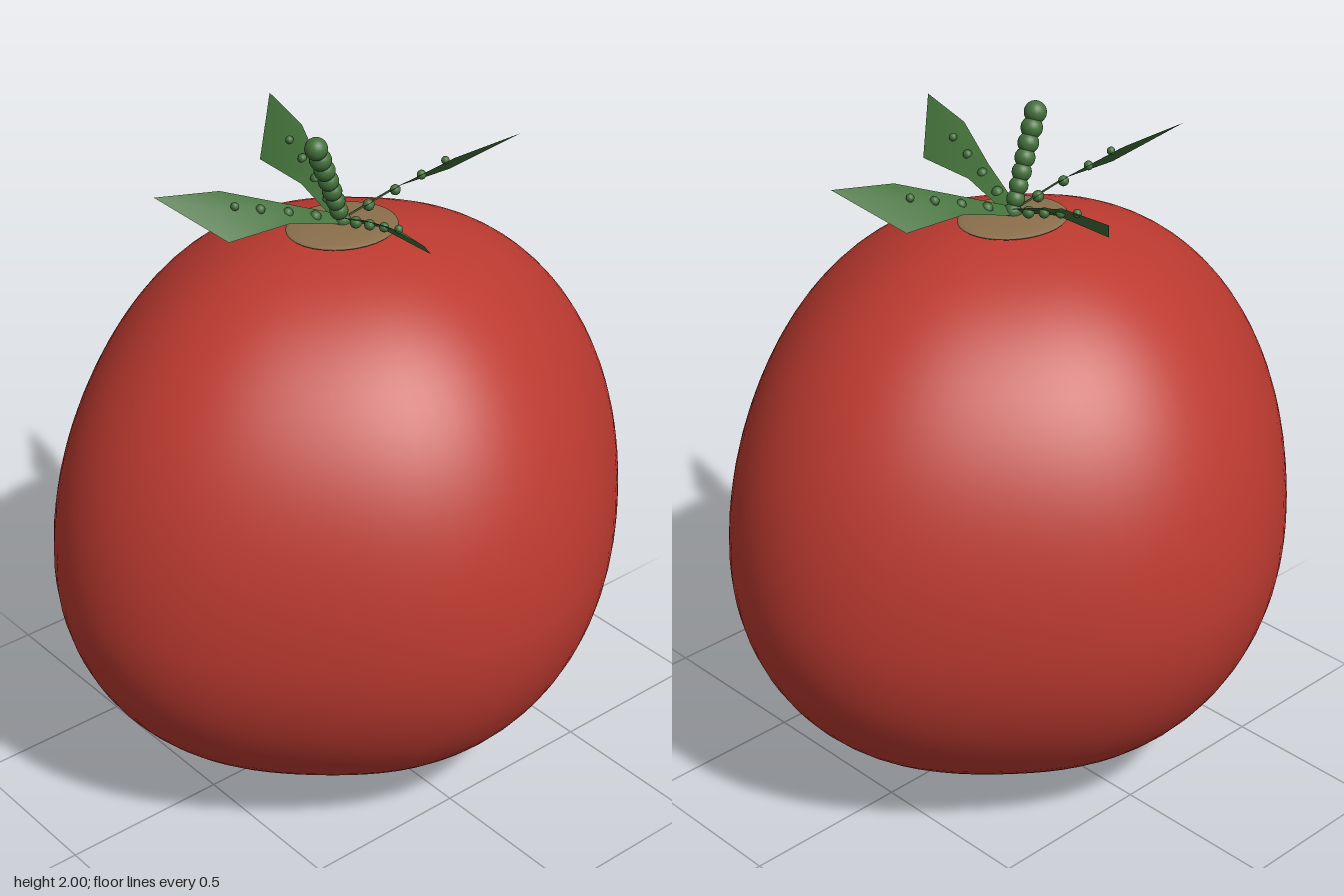
import * as THREE from 'three';
import { mergeVertices } from 'three/addons/utils/BufferGeometryUtils.js';

const red = new THREE.MeshStandardMaterial({ color: 0xbc3a30 });
red.name = 'ripeRed';
const green = new THREE.MeshStandardMaterial({ color: 0x43703a, side: THREE.DoubleSide });
green.name = 'leafGreen';
const tan = new THREE.MeshStandardMaterial({ color: 0x8b6f4c });
tan.name = 'scarTan';

function add(parent, name, geometry, material, x = 0, y = 0, z = 0) {
  const mesh = new THREE.Mesh(geometry, material);
  mesh.name = name;
  mesh.position.set(x, y, z);
  parent.add(mesh);
  return mesh;
}

// Fruit: a sphere, fuller above, wider in x, with four soft lobes
function fruitGeometry() {
  let g = new THREE.SphereGeometry(1, 72, 48);
  g.deleteAttribute('uv');
  g.deleteAttribute('normal');
  g = mergeVertices(g, 1e-4);
  const p = g.attributes.position;
  for (let i = 0; i < p.count; i++) {
    const x = p.getX(i), y = p.getY(i), z = p.getZ(i);
    const ring = Math.hypot(x, z);
    const lobe = 0.965 + 0.035 * Math.cos(4 * Math.atan2(z, x));
    const full = y > 0 && ring > 1e-3 ? Math.pow(ring, -0.07) : 1;
    p.setXYZ(i, x * 0.91 * lobe * full, 0.78 + y * (y > 0 ? 0.92 : 0.77), z * 0.82 * lobe * full);
  }
  g.computeVertexNormals();
  return g;
}

// Leaf: cross-sections of lower edge, raised midrib and upper edge, ending in a tip
function leafGeometry() {
  const rows = [
    [[0.01, 0, -0.015], [0, 0.012, 0], [-0.005, 0.015, 0.015]],
    [[0.18, 0.048, 0.002], [0.17, 0.068, 0.036], [0.16, 0.082, 0.06]],
    [[0.38, 0.05, 0.013], [0.345, 0.116, 0.075], [0.325, 0.145, 0.122]],
    [[0.515, 0.17, 0.157], [0.515, 0.17, 0.157], [0.515, 0.17, 0.157]],
  ];
  const index = [];
  for (let r = 0; r < 3; r++) {
    for (let c = 0; c < 2; c++) {
      const a = r * 3 + c;
      index.push(a, a + 1, a + 3);
      if (r < 2) index.push(a + 1, a + 4, a + 3);
    }
  }
  // Each strip meets the tip through its midrib corner
  index.splice(-6, 6, 6, 7, 10, 7, 8, 10);
  const g = new THREE.BufferGeometry();
  g.setAttribute('position', new THREE.Float32BufferAttribute(rows.flat(2), 3));
  g.setIndex(index.map((_, i) => index[i - (i % 3) + 2 - (i % 3)]));
  g.computeVertexNormals();
  return g;
}

export function createModel() {
  const model = new THREE.Group();
  model.name = 'tomato';

  add(model, 'fruit', fruitGeometry(), red);

  // Flat scars at the stem end and the blossom end
  const disc = new THREE.SphereGeometry(1, 32, 16);
  add(model, 'stemScar', disc, tan, 0, 1.697, 0).scale.set(0.165, 0.014, 0.142);
  add(model, 'blossomScar', disc, tan, 0, 0.011, 0).scale.set(0.045, 0.011, 0.04);

  // Four leaves, each with a row of shrinking bumps on its midrib
  const leaf = leafGeometry();
  for (let i = 0; i < 4; i++) {
    const group = new THREE.Group();
    group.name = 'leaf' + (i + 1);
    group.position.y = 1.71;
    group.rotation.y = i * Math.PI / 2;
    add(group, 'blade', leaf, green);
    [[0.08, 0.018], [0.16, 0.037], [0.24, 0.055], [0.315, 0.069]].forEach(([x, z], k) => {
      add(group, 'bump', new THREE.SphereGeometry(0.017 - k * 0.0017, 12, 8), green, x, 0.004 + x * 0.355, z);
    });
    model.add(group);
  }

  // Stem: a leaning stack of beads
  const stem = new THREE.Group();
  stem.name = 'stem';
  const path = new THREE.QuadraticBezierCurve3(
    new THREE.Vector3(0, 1.715, 0),
    new THREE.Vector3(-0.045, 1.83, 0.008),
    new THREE.Vector3(-0.113, 1.968, 0.028));
  for (let i = 0; i < 8; i++) {
    const p = path.getPoint(i / 7);
    add(stem, 'bead', new THREE.SphereGeometry(0.025 + i * 0.001, 20, 14), green, p.x, p.y, p.z);
  }
  model.add(stem);

  return model;
}
